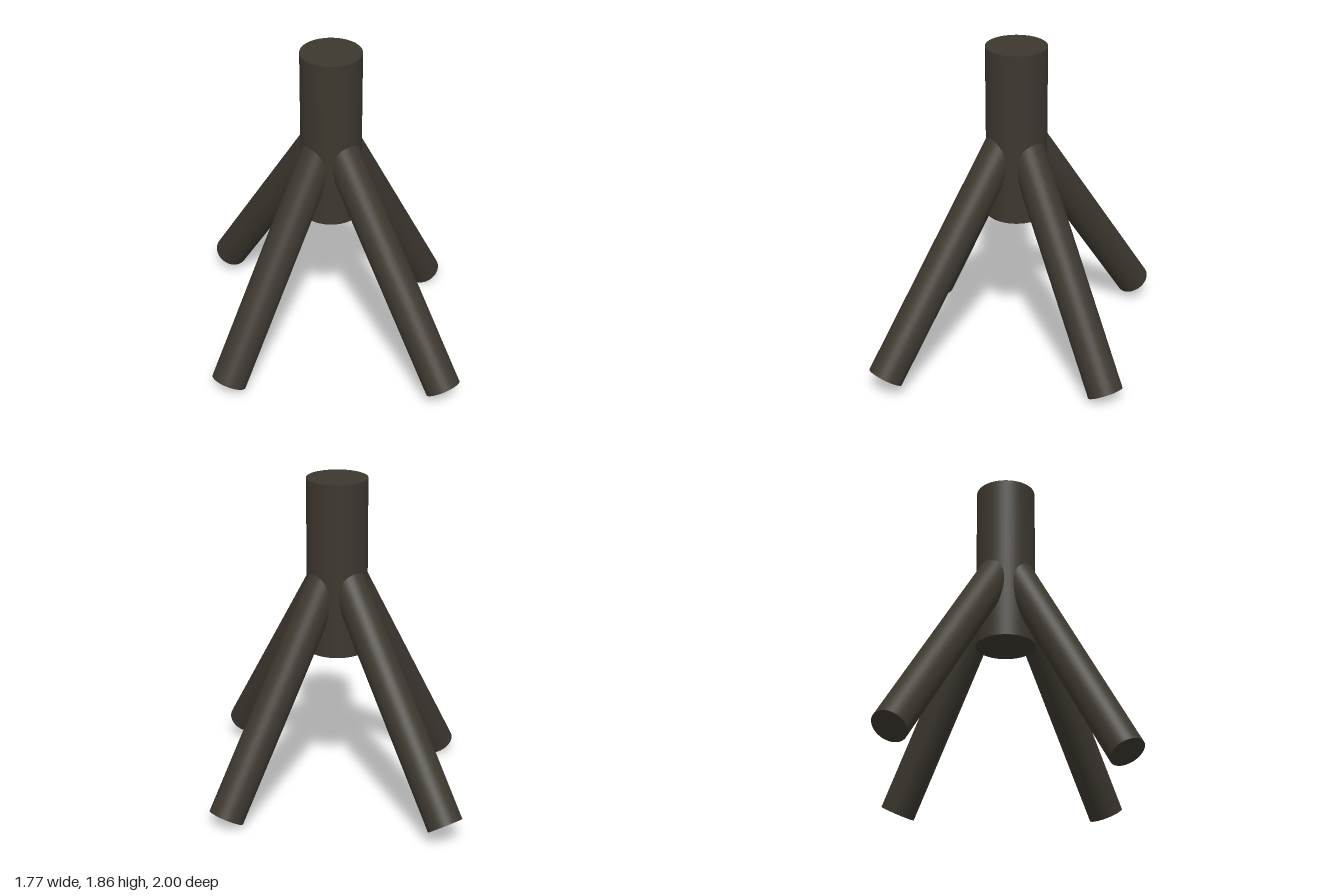
import * as THREE from 'three';

const material = new THREE.MeshStandardMaterial({ color: 0x3d382f });

// Closed round bar running between two points
function bar(name, from, to, radius) {
  const axis = to.clone().sub(from);
  const mesh = new THREE.Mesh(new THREE.CylinderGeometry(radius, radius, axis.length(), 48), material);
  mesh.name = name;
  mesh.position.copy(from).add(to).multiplyScalar(0.5);
  mesh.quaternion.setFromUnitVectors(new THREE.Vector3(0, 1, 0), axis.normalize());
  return mesh;
}

export function createModel() {
  const group = new THREE.Group();
  group.name = 'fourLeggedStand';
  const v = (x, y, z) => new THREE.Vector3(x, y, z);

  // Upright post
  group.add(bar('post', v(0, 0.87, 0), v(0, 1.86, 0), 0.17));

  // Splayed legs: foot centre, heading and lean from vertical; the tops end inside the post
  const legs = [
    { name: 'leftLeg', foot: v(0.797, 0.052, 0), out: v(1, 0, 0), lean: 30, length: 1.5 },
    { name: 'rightLeg', foot: v(-0.797, 0.052, 0), out: v(-1, 0, 0), lean: 30, length: 1.5 },
    { name: 'frontLeg', foot: v(-0.01, 0.11, 0.918), out: v(0, 0, 1), lean: 35, length: 1.51 },
    { name: 'backLeg', foot: v(0, 0.11, -0.918), out: v(0, 0, -1), lean: 35, length: 1.51 },
  ];
  for (const { name, foot, out, lean, length } of legs) {
    const a = THREE.MathUtils.degToRad(lean);
    const top = foot.clone().addScaledVector(out, -Math.sin(a) * length);
    top.y += Math.cos(a) * length;
    group.add(bar(name, foot, top, 0.1));
  }
  return group;
}
